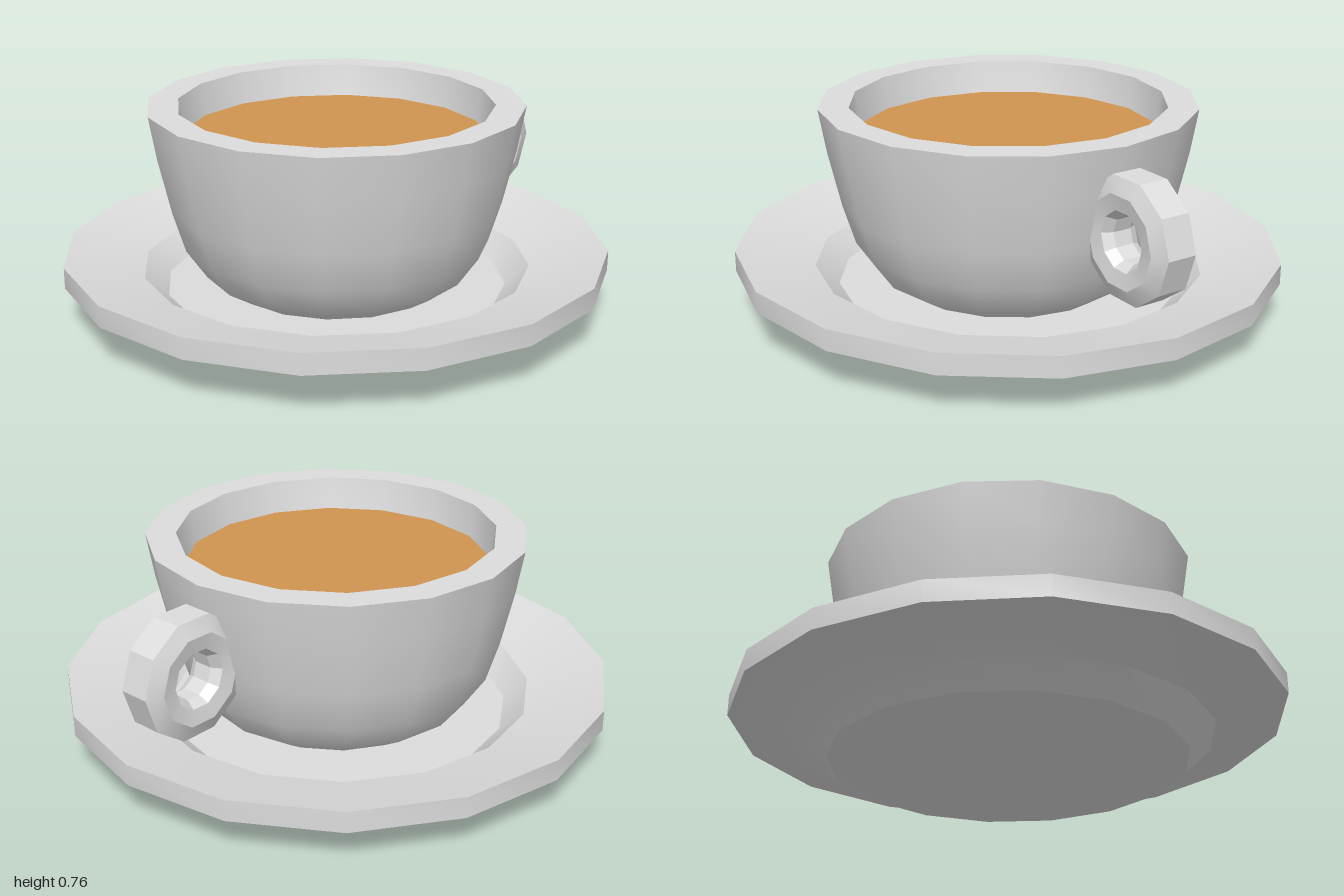
import * as THREE from 'three';
import { toCreasedNormals } from 'three/addons/utils/BufferGeometryUtils.js';

// Low-poly turned shape from [radius, height] pairs, with sharp edges kept
function turned(profile, sides, start = 0, adjust = () => {}) {
  const points = profile.map(([r, y]) => new THREE.Vector2(r, y));
  const geometry = new THREE.LatheGeometry(points, sides, start);
  adjust(geometry);
  return toCreasedNormals(geometry, 0.48);
}

// Slight lean of the saucer; its foot stays flat on the ground
function lean(geometry) {
  const p = geometry.attributes.position;
  for (let i = 0; i < p.count; i++) {
    const y = p.getY(i);
    if (y > 0.001) p.setY(i, y - 0.0075 * p.getX(i) + 0.0125 * p.getZ(i));
  }
}

export function createModel() {
  const group = new THREE.Group();
  const ceramic = new THREE.MeshStandardMaterial({ color: 0xdcdcdc });
  ceramic.name = 'ceramic';
  const coffee = new THREE.MeshStandardMaterial({ color: 0xd09450 });
  coffee.name = 'coffee';

  const add = (name, geometry, material) => {
    const mesh = new THREE.Mesh(geometry, material);
    mesh.name = name;
    group.add(mesh);
    return mesh;
  };

  // Saucer: foot, flared underside, thick rim and sunken well
  add('saucer', turned([
    [0, 0], [0.65, 0], [0.745, 0.08], [1, 0.148], [1, 0.225],
    [0.715, 0.155], [0.63, 0.08], [0, 0.08],
  ], 16, -0.03, lean), ceramic);

  // Cup: rounded bowl, flat lip and inner wall
  add('cup', turned([
    [0, 0.07], [0.38, 0.07], [0.49, 0.14], [0.565, 0.25], [0.61, 0.4], [0.655, 0.6], [0.682, 0.76],
    [0.573, 0.76], [0.552, 0.63], [0.5, 0.4], [0.4, 0.2], [0, 0.2],
  ], 16), ceramic);

  // Drink surface
  const surface = new THREE.CircleGeometry(0.554, 16);
  surface.rotateX(-Math.PI / 2);
  add('drink', surface, coffee).position.y = 0.64;

  // Ring handle on the cup's left side
  const half = [[0.22, 0.055], [0.163, 0.08], [0.105, 0.07], [0.083, 0.035]];
  const mirrored = half.map(([r, z]) => [r, -z]).reverse();
  const handle = turned([...half, ...mirrored, half[0]], 10, 0, (g) => {
    g.rotateX(Math.PI / 2);
    g.rotateZ(Math.PI / 2);
  });
  add('handle', handle, ceramic).position.set(0.753, 0.47, 0);

  return group;
}
